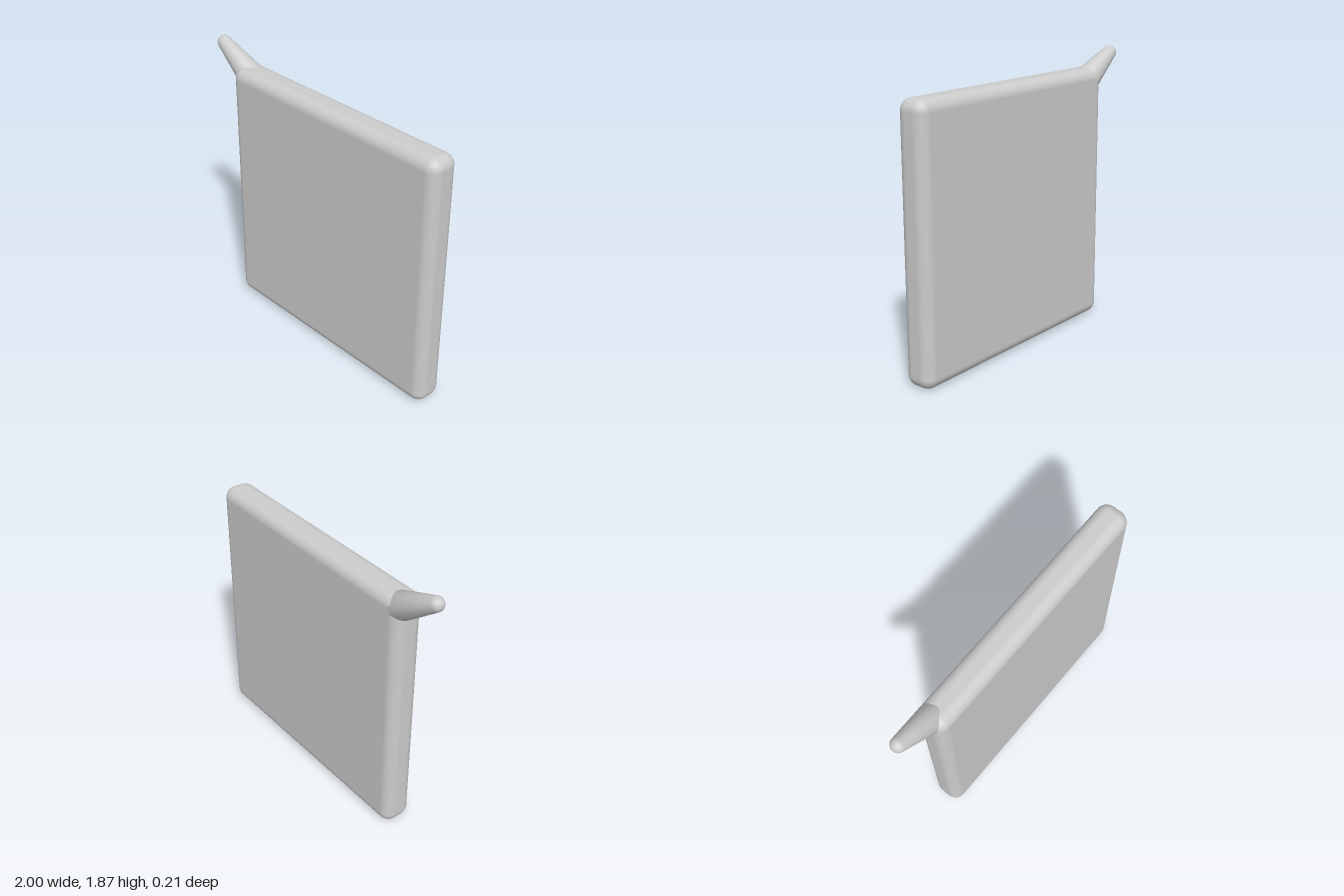
import * as THREE from 'three';
import { RoundedBoxGeometry } from 'three/addons/geometries/RoundedBoxGeometry.js';

export function createModel() {
  const group = new THREE.Group();
  const material = new THREE.MeshStandardMaterial({ color: 0xcccccc });

  // Square slab with softly rounded edges
  const slab = new THREE.Mesh(new RoundedBoxGeometry(1.75, 1.75, 0.208, 6, 0.075), material);
  slab.name = 'slab';
  slab.position.set(0.125, 0.875, 0);
  group.add(slab);

  // Tapered spout with a domed tip, rising outward from the upper corner
  const tipRadius = 0.047, baseRadius = 0.092, length = 0.32;
  const profile = [new THREE.Vector2(0, -length), new THREE.Vector2(baseRadius, -length)];
  const taper = Math.atan((baseRadius - tipRadius) / length);
  for (let i = 0; i <= 8; i++) {
    const a = THREE.MathUtils.lerp(taper, Math.PI / 2, i / 8);
    profile.push(new THREE.Vector2(i === 8 ? 0 : tipRadius * Math.cos(a), tipRadius * Math.sin(a)));
  }
  const spout = new THREE.Mesh(new THREE.LatheGeometry(profile, 40), material);
  spout.name = 'spout';
  spout.position.set(-0.953, 1.826, -0.015);
  spout.rotation.z = Math.PI / 3;
  group.add(spout);

  return group;
}
